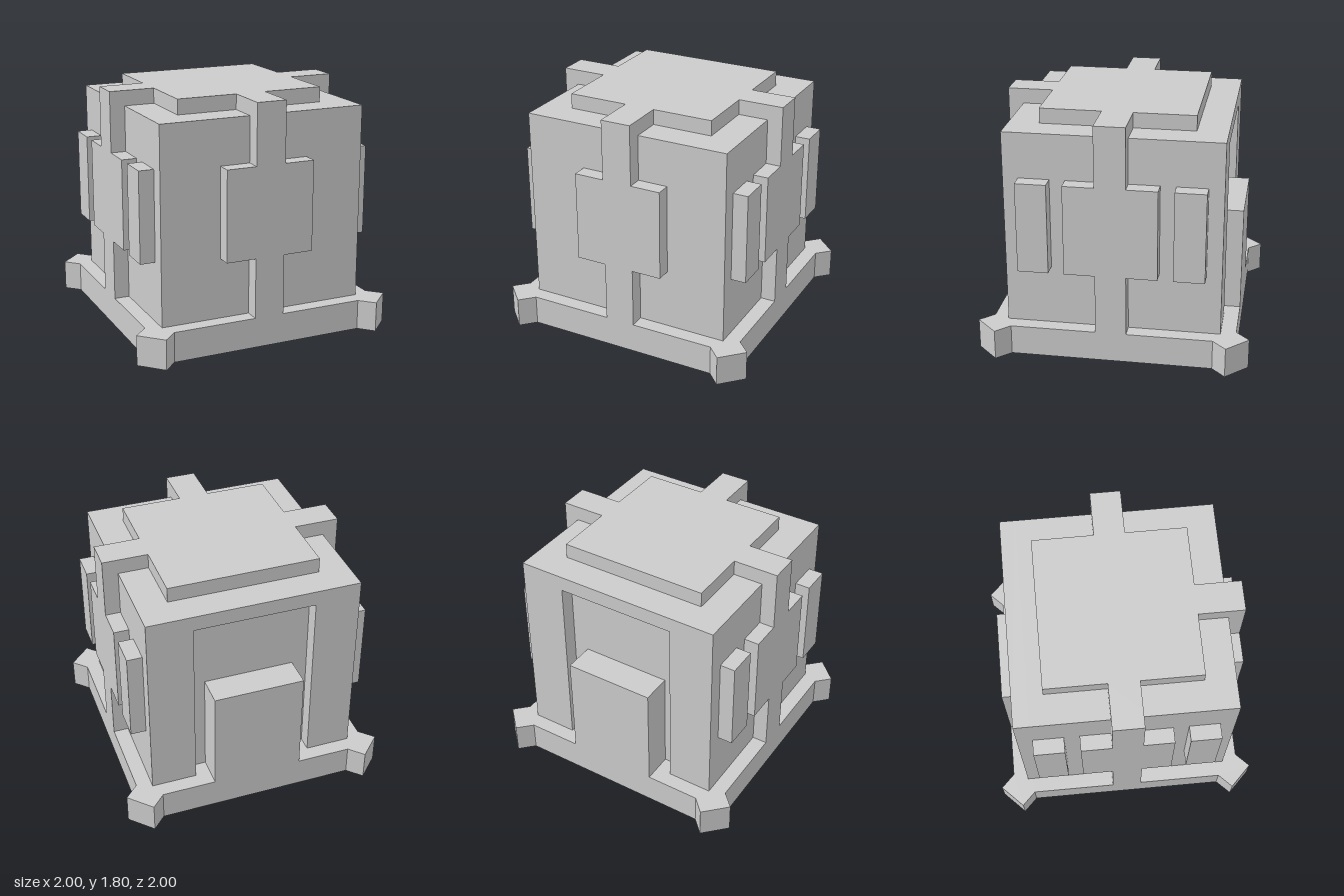
import * as THREE from 'three';

const U = 0.1125; // grid module: every size is a multiple of this
const material = new THREE.MeshStandardMaterial({ color: 0xcccccc, flatShading: true });

function addMesh(parent, name, geometry) {
  const mesh = new THREE.Mesh(geometry, material);
  mesh.name = name;
  parent.add(mesh);
  return mesh;
}

// Box from its minimum and maximum corners, in modules
function block(parent, name, [x0, y0, z0], [x1, y1, z1]) {
  const geometry = new THREE.BoxGeometry((x1 - x0) * U, (y1 - y0) * U, (z1 - z0) * U);
  geometry.translate((x0 + x1) * U / 2, (y0 + y1) * U / 2, (z0 + z1) * U / 2);
  return addMesh(parent, name, geometry);
}

// Outline in modules, extruded along +z
function slab(points, depth) {
  const shape = new THREE.Shape(points.map(([x, y]) => new THREE.Vector2(x * U, y * U)));
  return new THREE.ExtrudeGeometry(shape, { depth: depth * U, bevelEnabled: false });
}

// Completes a right-half outline (listed bottom to top) with its mirror image
const mirrored = (half) => [...half, ...half.map(([x, y]) => [-x, y]).reverse()];

// Floor outline laid flat, rising from height y
function flatSlab(points, depth, y) {
  return slab(points, depth).rotateX(-Math.PI / 2).translate(0, y * U, 0);
}

export function createModel() {
  const model = new THREE.Group();
  model.name = 'cubeSafe';

  // Square base with a diagonal foot at each corner
  const tip = 1 / U, reach = Math.SQRT2;
  const a = 8 - reach, b = tip - reach;
  const corner = [[8, a], [tip, b], [b, tip], [a, 8]];
  const outline = [];
  for (let i = 0; i < 4; i++) {
    const c = Math.round(Math.cos(i * Math.PI / 2)), s = Math.round(Math.sin(i * Math.PI / 2));
    for (const [x, y] of corner) outline.push([x * c - y * s, x * s + y * c]);
  }
  addMesh(model, 'baseWithFeet', flatSlab(outline, 2, 0));

  // Body, with a back wall that frames the door recess
  block(model, 'body', [-7, 2, -6], [7, 15, 7]);
  const arch = mirrored([[4, 2], [7, 2], [7, 15]]);
  arch.push([-4, 2], [-4, 14], [4, 14]);
  arch.splice(arch.length - 3, 1); // the mirrored half already ends at this point
  addMesh(model, 'backFrame', slab(arch, 1).translate(0, 0, -7 * U));
  block(model, 'backDoor', [-3, 2, -8], [3, 9, -6]);

  // Raised lid plate with arms to the front and both sides
  const lid = mirrored([[1, -7], [1, -5], [5, -5], [5, -1], [7, -1], [7, 1], [5, 1], [5, 5]]);
  addMesh(model, 'lidPlate', flatSlab(lid, 1, 15));

  // Vertical strap with a wide centre panel on the front and both sides
  const strap = mirrored([[1, 2], [1, 6], [3, 6], [3, 12], [1, 12], [1, 16]]);
  for (const [side, turn] of [['front', 0], ['left', 1], ['right', -1]]) {
    const group = new THREE.Group();
    group.name = side + 'Panel';
    group.rotation.y = turn * Math.PI / 2;
    addMesh(group, side + 'Strap', slab(strap, 1).translate(0, 0, 7 * U));
    // Side faces also carry a narrow bar on either side of the panel
    if (turn) for (const s of [-1, 1]) {
      block(group, side + 'Bar', [s * 5 - 1, 6, 7], [s * 5 + 1, 12, 8]);
    }
    model.add(group);
  }

  return model;
}
